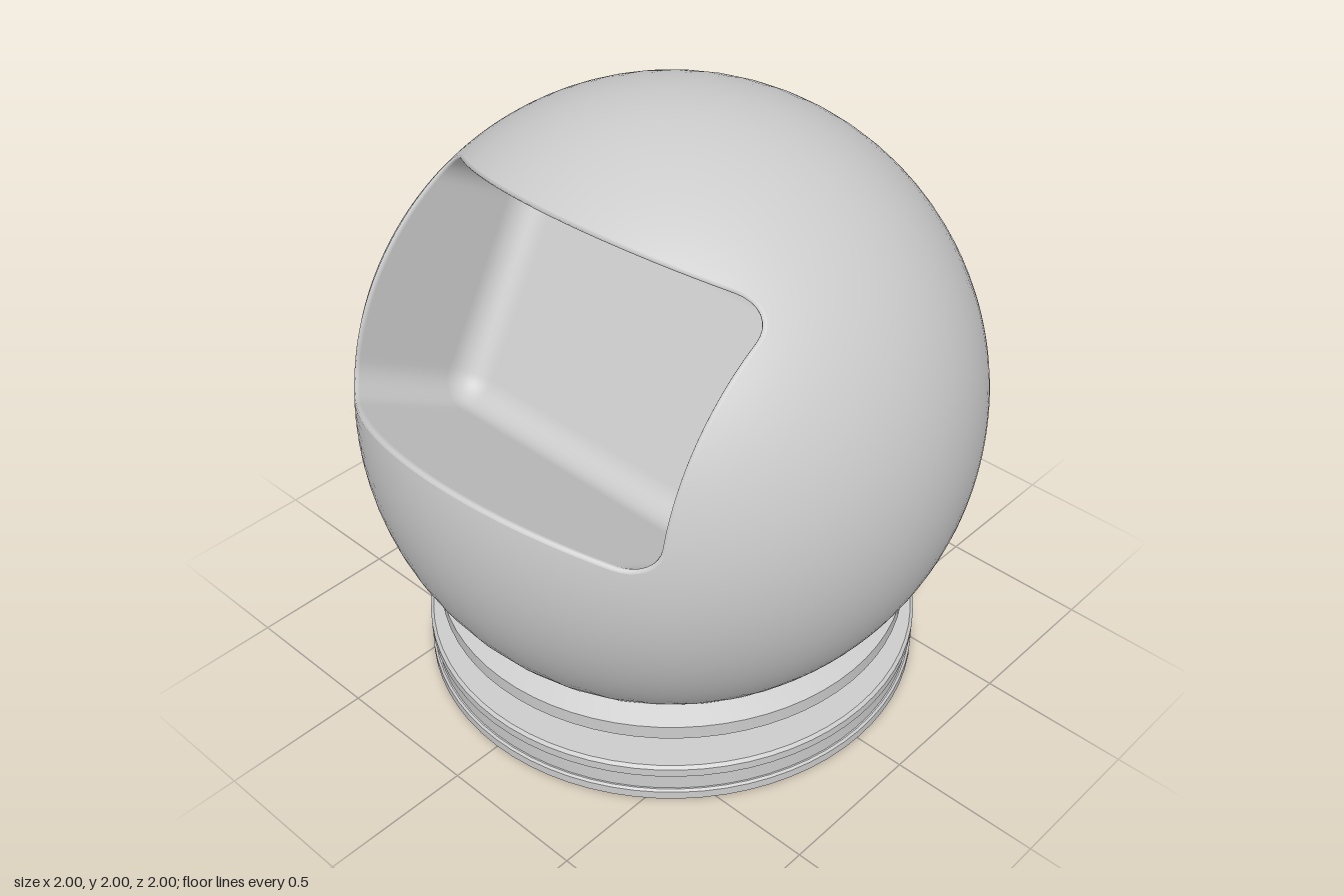
import * as THREE from 'three';
import { toCreasedNormals } from 'three/addons/utils/BufferGeometryUtils.js';

const material = new THREE.MeshStandardMaterial({ color: 0xcccccc });

// Pocket measures, in a frame whose z axis points out of the opening
const HALF_W = 0.65, HALF_H = 0.403, CENTRE_Y = 0.0775;
const CORNER = 0.1, FILLET = 0.095, FLOOR = 0.2, BEVEL = 0.014;
const TILT = Math.PI / 6;

// Rounded rectangle, grown by d, counter-clockwise, always the same number of points
function contour(d) {
  const arc = (k, t) => {
    const a = (k + t) * Math.PI / 2;
    const sx = k === 0 || k === 3 ? 1 : -1, sy = k < 2 ? 1 : -1;
    return new THREE.Vector2(
      sx * (HALF_W - CORNER) + (CORNER + d) * Math.cos(a),
      CENTRE_Y + sy * (HALF_H - CORNER) + (CORNER + d) * Math.sin(a));
  };
  const points = [];
  for (let k = 0; k < 4; k++) {
    for (let i = 0; i <= 8; i++) points.push(arc(k, i / 8));
    const from = arc(k, 1), to = arc((k + 1) % 4, 0);
    for (let i = 1; i < 24; i++) points.push(from.clone().lerp(to, i / 24));
  }
  return points;
}

const onSphere = (p) => Math.sqrt(1 - p.x * p.x - p.y * p.y);

// Joins closed loops of equal length into a skin
function skin(loops) {
  const n = loops[0].length, index = [];
  for (let j = 0; j < loops.length - 1; j++) {
    for (let i = 0; i < n; i++) {
      const a = j * n + i, b = j * n + (i + 1) % n;
      index.push(a, b, b + n, a, b + n, a + n);
    }
  }
  const geometry = new THREE.BufferGeometry().setFromPoints(loops.flat());
  geometry.setIndex(index);
  geometry.computeVertexNormals();
  return geometry;
}

// Ball surface: great circles from the pole behind the opening up to its rim
function ballGeometry() {
  const rim = contour(BEVEL), loops = [], steps = 44;
  for (let j = 0; j <= steps; j++) {
    loops.push(rim.map((p) => {
      const end = Math.acos(onSphere(p)), around = Math.atan2(p.y, p.x);
      const a = Math.PI + (end - Math.PI) * j / steps;
      return new THREE.Vector3(
        Math.sin(a) * Math.cos(around), Math.sin(a) * Math.sin(around), Math.cos(a));
    }));
  }
  const geometry = skin(loops);
  geometry.setAttribute('normal', geometry.getAttribute('position').clone());
  return geometry;
}

// Pocket: softened rim, straight walls, filleted floor
function pocketGeometry() {
  const rimLoop = (d, drop) =>
    contour(d).map((p) => new THREE.Vector3(p.x, p.y, onSphere(p) - drop));
  const flatLoop = (d, z) => contour(d).map((p) => new THREE.Vector3(p.x, p.y, z));
  const loops = [
    rimLoop(BEVEL, 0), rimLoop(BEVEL * 0.3, BEVEL * 0.3),
    rimLoop(0, BEVEL), rimLoop(0, BEVEL * 1.6),
    flatLoop(0, FLOOR + FILLET + 0.01),
  ];
  for (let i = 0; i <= 8; i++) {
    const a = i / 8 * Math.PI / 2;
    loops.push(flatLoop(-FILLET * (1 - Math.cos(a)), FLOOR + FILLET * (1 - Math.sin(a))));
  }
  const edge = loops[loops.length - 1];
  const centre = new THREE.Vector3(0, CENTRE_Y, FLOOR);
  for (const t of [0.03, 1]) loops.push(edge.map((p) => p.clone().lerp(centre, t)));
  return skin(loops);
}

// Turned part from [radius, height] pairs, bottom to top
function turned(profile) {
  const points = profile.map(([r, y]) => new THREE.Vector2(r, y));
  return toCreasedNormals(new THREE.LatheGeometry(points, 72), Math.PI / 7);
}

export function createModel() {
  const group = new THREE.Group();
  const add = (name, geometry, parent = group) => {
    const mesh = new THREE.Mesh(geometry, material);
    mesh.name = name;
    parent.add(mesh);
  };

  // Ball with its tilted opening
  const head = new THREE.Group();
  head.name = 'ball';
  head.position.y = 1;
  head.rotation.x = -TILT;
  group.add(head);
  add('ballShell', ballGeometry(), head);
  add('pocket', pocketGeometry(), head);

  // Grooved foot
  add('foot', turned([
    [0, 0], [0.825, 0], [0.832, 0.007], [0.832, 0.036], [0.825, 0.043],
    [0.82, 0.043], [0.82, 0.1], [0.825, 0.1], [0.832, 0.107],
    [0.832, 0.136], [0.822, 0.146], [0.6, 0.146],
  ]));

  // Neck and flared collar under the ball
  add('collar', turned([
    [0.705, 0.14], [0.705, 0.2], [0.735, 0.2], [0.79, 0.232],
    [0.79, 0.28], [0.725, 0.312], [0.68, 0.312],
  ]));

  return group;
}
